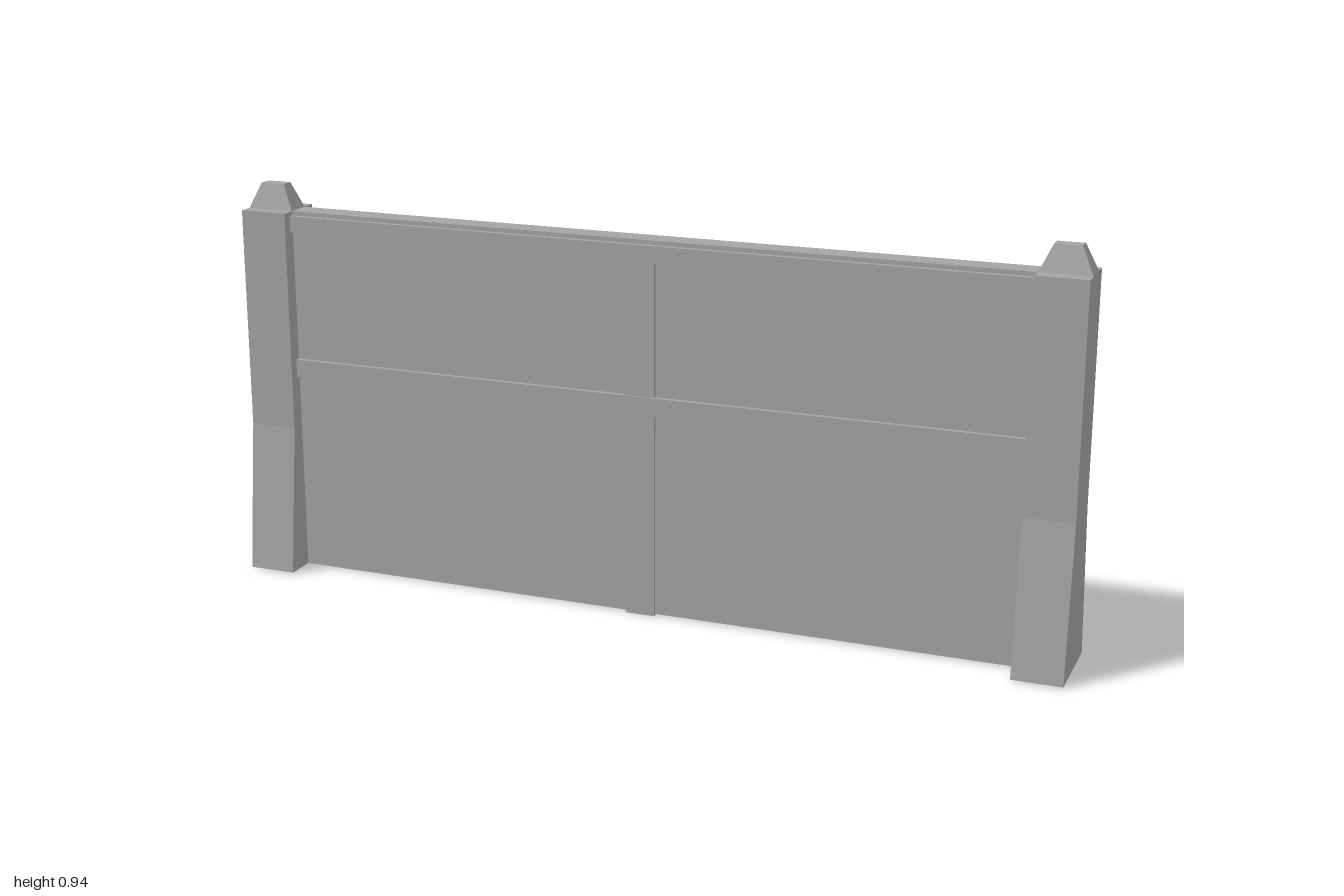
import * as THREE from 'three';

const material = new THREE.MeshStandardMaterial({ color: 0xa4a4a4, flatShading: true });

function add(parent, name, geometry, x = 0, y = 0, z = 0) {
  const mesh = new THREE.Mesh(geometry, material);
  mesh.name = name;
  mesh.position.set(x, y, z);
  parent.add(mesh);
}

// Box given by its width, lower and upper height, and half depth, centred on x = z = 0.
function slab(parent, name, width, y0, y1, halfDepth) {
  add(parent, name, new THREE.BoxGeometry(width, y1 - y0, halfDepth * 2), 0, (y0 + y1) / 2);
}

// Extrudes a symmetric profile of [halfDepth, y] pairs along x, centred on x = 0.
function profileAlongX(pairs, length) {
  const right = pairs.map(([d, y]) => new THREE.Vector2(d, y));
  const left = pairs.map(([d, y]) => new THREE.Vector2(-d, y)).reverse();
  const geometry = new THREE.ExtrudeGeometry(new THREE.Shape([...right, ...left]), {
    depth: length, bevelEnabled: false,
  });
  geometry.translate(0, 0, -length / 2);
  geometry.rotateY(Math.PI / 2);
  return geometry;
}

// Box standing on its base, its top face shrunk to a smaller rectangle.
function taperedBox(width, height, depth, topWidth, topDepth) {
  const geometry = new THREE.BoxGeometry(width, height, depth);
  geometry.translate(0, height / 2, 0);
  const p = geometry.attributes.position;
  for (let i = 0; i < p.count; i++) {
    if (p.getY(i) > height / 2) {
      p.setX(i, p.getX(i) * topWidth / width);
      p.setZ(i, p.getZ(i) * topDepth / depth);
    }
  }
  geometry.computeVertexNormals();
  return geometry;
}

export function createModel() {
  const model = new THREE.Group();
  model.name = 'wallSection';

  const base = 0.003, top = 0.885, postWidth = 0.115;
  const span = 2 - 2 * postWidth;

  // End posts with flared feet and tapered caps
  for (const [side, s] of [['left', 1], ['right', -1]]) {
    const post = new THREE.Group();
    post.name = side + 'Post';
    post.position.x = s * (1 - postWidth / 2);
    add(post, side + 'PostBody', profileAlongX([[0.103, base], [0.064, 0.36], [0.064, top]], postWidth));
    add(post, side + 'PostCap', taperedBox(postWidth, 0.06, 0.06, 0.06, 0.03), 0, top);
    model.add(post);
  }

  // Wall panel between the posts, rising slightly above the top rail
  slab(model, 'wallPanel', span, base, top, 0.029);

  // Rails standing proud of the panel on both faces
  slab(model, 'topRail', span, 0.836, 0.875, 0.041);
  slab(model, 'middleRail', span, 0.483, 0.526, 0.041);

  // Centre stile, a little shallower than the rails
  slab(model, 'centreStile', 0.07, 0, 0.85, 0.037);

  return model;
}
